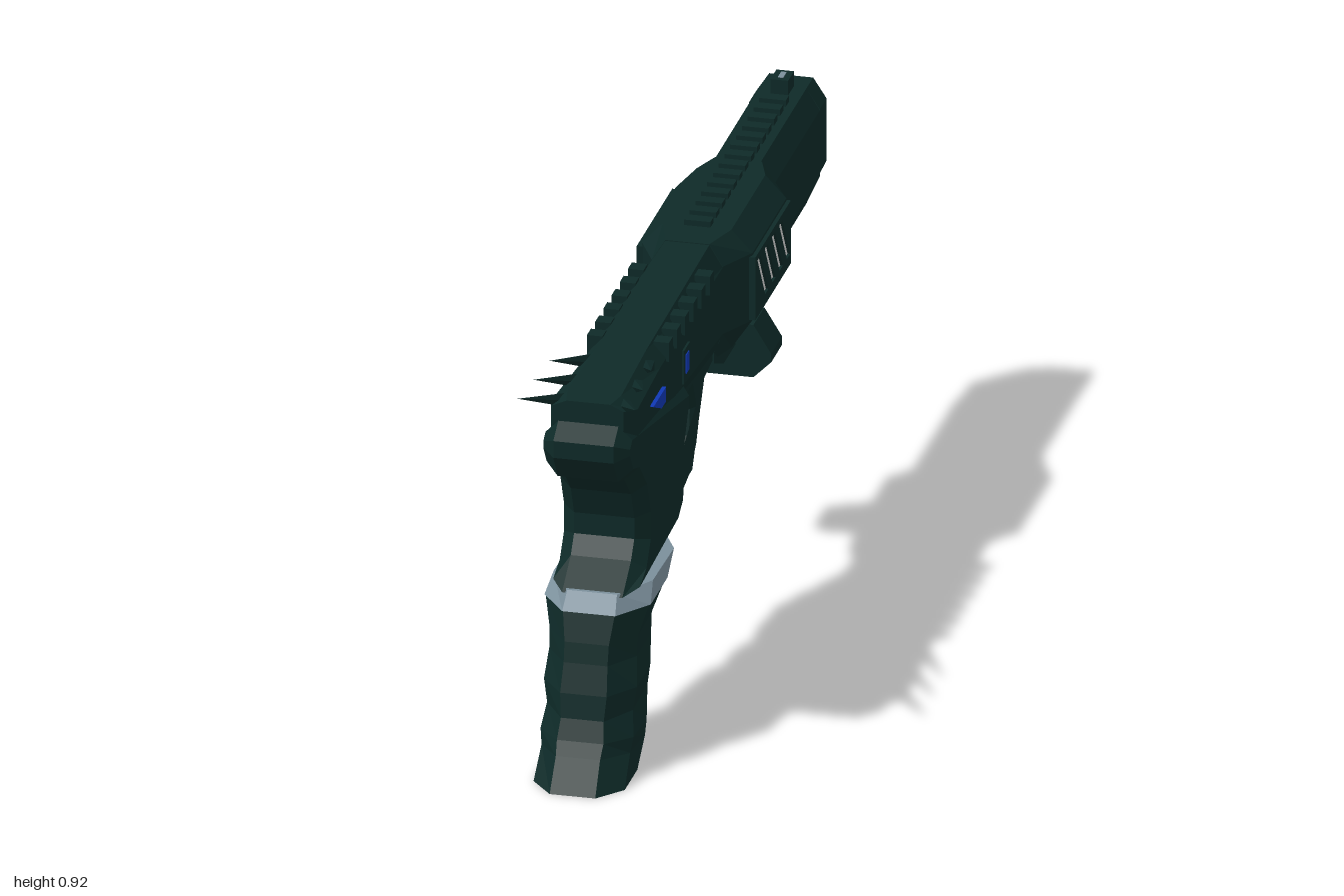
import * as THREE from 'three';

const mat = (name, color) => {
  const m = new THREE.MeshStandardMaterial({ color, flatShading: true });
  m.name = name;
  return m;
};

export function createModel() {
  const model = new THREE.Group();
  model.name = 'spikedSidearmProp';
  const body = mat('dark green', 0x0e2a28);
  const steel = mat('steel grey', 0x7b8f9b);
  const blue = mat('blue', 0x1038b4);
  const light = mat('light grey', 0xd2d2d2);

  const add = (name, geometry, material = body) => {
    const mesh = new THREE.Mesh(geometry, material);
    mesh.name = name;
    model.add(mesh);
    return mesh;
  };
  const box = (name, w, h, d, x, y, z, material = body) => {
    const mesh = add(name, new THREE.BoxGeometry(w, h, d), material);
    mesh.position.set(x, y, z);
    return mesh;
  };
  const vec = (pts) => pts.map(([a, b]) => new THREE.Vector2(a, b));

  // Skin between equal rings of points, with flat end caps
  const loft = (rings) => {
    const n = rings[0].length, tris = [];
    for (let r = 0; r < rings.length - 1; r++) {
      for (let i = 0; i < n; i++) {
        const j = (i + 1) % n, a = rings[r], b = rings[r + 1];
        tris.push([a[i], a[j], b[j]], [a[i], b[j], b[i]]);
      }
    }
    const first = rings[0], last = rings[rings.length - 1];
    for (let i = 1; i < n - 1; i++) {
      tris.push([first[0], first[i + 1], first[i]], [last[0], last[i], last[i + 1]]);
    }
    // Turn every face outward
    let volume = 0;
    for (const [a, b, c] of tris) volume += a.dot(b.clone().cross(c));
    const pos = [];
    for (const [a, b, c] of tris) {
      for (const p of volume < 0 ? [a, c, b] : [a, b, c]) pos.push(p.x, p.y, p.z);
    }
    const g = new THREE.BufferGeometry();
    g.setAttribute('position', new THREE.Float32BufferAttribute(pos, 3));
    g.computeVertexNormals();
    return g;
  };

  // Side outline in (z, y), extruded across x and centred on x = 0
  const sideExtrude = (outline, half, bevel = 0, holes = []) => {
    const shape = new THREE.Shape(vec(outline));
    for (const h of holes) shape.holes.push(new THREE.Path(vec(h)));
    const depth = 2 * (half - bevel);
    const g = new THREE.ExtrudeGeometry(shape, {
      depth, bevelEnabled: bevel > 0, bevelThickness: bevel,
      bevelSize: bevel, bevelOffset: -bevel, bevelSegments: 1,
    });
    return g.translate(0, 0, -depth / 2).rotateY(-Math.PI / 2);
  };
  const sidePlate = (name, outline, x, thickness, material, holes) => {
    add(name, sideExtrude(outline, thickness / 2, 0, holes), material).position.x = x;
  };

  // Octagonal section across the barrel line
  const section = (hw, top, bot) => {
    const h = top - bot;
    const right = [[0.62 * hw, top], [hw, top - 0.18 * h], [hw, bot + 0.25 * h], [0.62 * hw, bot]];
    return [...right, ...right.map(([x, y]) => [-x, y]).reverse()];
  };
  const barrelLoft = (rows) => loft(rows.map(([z, hw, top, bot]) =>
    section(hw, top, bot).map(([x, y]) => new THREE.Vector3(x, y, z))));

  // Slide and shroud
  add('slide', barrelLoft([
    [0.855, 0.08, 0.88, 0.8], [0.8, 0.098, 0.88, 0.72], [0.55, 0.087, 0.88, 0.68],
    [-0.06, 0.08, 0.88, 0.6], [-0.94, 0.08, 0.88, 0.605],
  ]));
  add('shroud', barrelLoft([
    [-0.05, 0.08, 0.882, 0.6], [-0.14, 0.125, 0.882, 0.6],
    [-0.45, 0.125, 0.882, 0.6], [-0.52, 0.085, 0.882, 0.6],
  ]));

  // Muzzle collar with a tall opening
  const collar = new THREE.Shape(vec(section(0.08, 0.88, 0.62)));
  collar.holes.push(new THREE.Path(vec(section(0.035, 0.84, 0.67))));
  add('muzzleCollar', new THREE.ExtrudeGeometry(collar, { depth: 0.062, bevelEnabled: false }))
    .position.z = -1;

  // Slotted shroud panels; only the left side shows light inserts
  const slots = [0, 1, 2, 3].map((i) => {
    const z = -0.15 - i * 0.066;
    return [[z, 0.81], [z - 0.03, 0.81], [z - 0.1, 0.7], [z - 0.07, 0.7]];
  });
  const panel = [[-0.13, 0.675], [-0.13, 0.825], [-0.455, 0.825], [-0.455, 0.675]];
  for (const s of [-1, 1]) sidePlate('slottedPanel', panel, s * 0.127, 0.014, body, slots);
  for (const slot of slots) sidePlate('slotInsert', slot, 0.126, 0.004, light);

  // Receiver with rear tang
  add('receiver', sideExtrude([
    [0.855, 0.83], [0.9, 0.8], [0.9, 0.76], [0.86, 0.7], [0.8, 0.68], [0.74, 0.62],
    [0.71, 0.55], [0.71, 0.5], [0.74, 0.46], [0.82, 0.405], [0.42, 0.405], [0.36, 0.44],
    [0.345, 0.5], [0.345, 0.58], [0.3, 0.66], [0.3, 0.71],
  ], 0.098, 0.03));

  // Trigger guard
  add('triggerGuard', sideExtrude([
    [0.45, 0.68], [0.45, 0.41], [0.25, 0.4], [0.155, 0.42], [0.1, 0.47],
    [0.07, 0.53], [0.03, 0.59], [-0.05, 0.6], [-0.05, 0.68],
  ], 0.06, 0.012, [[
    [0.34, 0.58], [0.27, 0.62], [0.15, 0.62], [0.12, 0.56],
    [0.13, 0.5], [0.155, 0.44], [0.28, 0.44], [0.34, 0.5],
  ]]));

  // Grip and band: rows of [back z, back y, front z, front y, half width]
  const gripLoft = (rows) => loft(rows.map(([zb, yb, zf, yf, hw]) => {
    const half = [[0, 0.5], [0.25, 1], [0.72, 1], [1, 0.5]].map(([t, k]) =>
      new THREE.Vector3(k * hw, yb + (yf - yb) * t, zb + (zf - zb) * t));
    return [...half, ...half.map((p) => new THREE.Vector3(-p.x, p.y, p.z)).reverse()];
  }));
  add('grip', gripLoft([
    [0.85, 0.375, 0.535, 0.375, 0.117], [0.87, 0.31, 0.605, 0.32, 0.1],
    [0.88, 0.265, 0.605, 0.27, 0.099], [0.9, 0.2, 0.64, 0.21, 0.105],
    [0.91, 0.145, 0.627, 0.16, 0.097], [0.93, 0.1, 0.675, 0.085, 0.105],
    [0.95, 0.07, 0.66, 0.04, 0.1], [1.0, 0, 0.755, 0, 0.103],
  ]));
  add('gripBand', gripLoft([
    [0.82, 0.412, 0.41, 0.402, 0.112], [0.852, 0.374, 0.525, 0.374, 0.12],
  ]), steel);

  // Rail and cross module under the shroud
  add('underRail', sideExtrude([
    [-0.05, 0.63], [-0.05, 0.598], [-0.14, 0.56], [-0.455, 0.56], [-0.455, 0.63],
  ], 0.06));
  const pod = new THREE.Shape(vec([
    [0.1, 0.61], [0.14, 0.545], [0.14, 0.525], [0.1, 0.485],
    [-0.1, 0.485], [-0.14, 0.525], [-0.14, 0.545], [-0.1, 0.61],
  ].reverse()));
  add('crossModule', new THREE.ExtrudeGeometry(pod, { depth: 0.1, bevelEnabled: false }))
    .position.z = -0.35;
  box('moduleLens', 0.005, 0.04, 0.06, 0.1205, 0.5045, -0.3, light).rotation.z = -Math.PI / 4;

  // Top rail teeth and front sight
  for (let i = 0; i < 14; i++) box('railTooth', 0.06, 0.03, 0.03, 0, 0.88, -0.155 - i * 0.053);
  box('frontSight', 0.04, 0.05, 0.055, 0, 0.89, -0.918);
  box('sightDot', 0.012, 0.004, 0.03, 0, 0.915, -0.918, steel);

  for (const s of [-1, 1]) {
    // Slide serrations
    for (let i = 0; i < 6; i++) {
      box('serration', 0.035, 0.045, 0.036, s * 0.075, 0.857, 0.1 + i * 0.075);
    }
    // Blue inlays
    sidePlate('indicatorFrame', [[0.34, 0.715], [0.34, 0.795], [0.285, 0.795], [0.285, 0.715]],
      s * 0.085, 0.008, body);
    sidePlate('indicatorLight', [[0.325, 0.735], [0.325, 0.78], [0.3, 0.78], [0.3, 0.735]],
      s * 0.088, 0.006, blue);
    sidePlate('blueInlay', [[0.665, 0.8], [0.55, 0.8], [0.55, 0.765], [0.59, 0.765]],
      s * 0.096, 0.009, blue);
    // Swept-back spikes
    for (let i = 0; i < 3; i++) {
      const tip = new THREE.Vector3(s * (0.133 - i * 0.009), 0.922, 0.965 - i * 0.11);
      const base = new THREE.Vector3(s * 0.062, 0.85, 0.78 - i * 0.11);
      const dir = tip.clone().sub(base);
      const spike = add('spike', new THREE.ConeGeometry(0.018, dir.length(), 5));
      spike.position.copy(base).addScaledVector(dir, 0.5);
      spike.quaternion.setFromUnitVectors(new THREE.Vector3(0, 1, 0), dir.normalize());
    }
  }
  return model;
}
